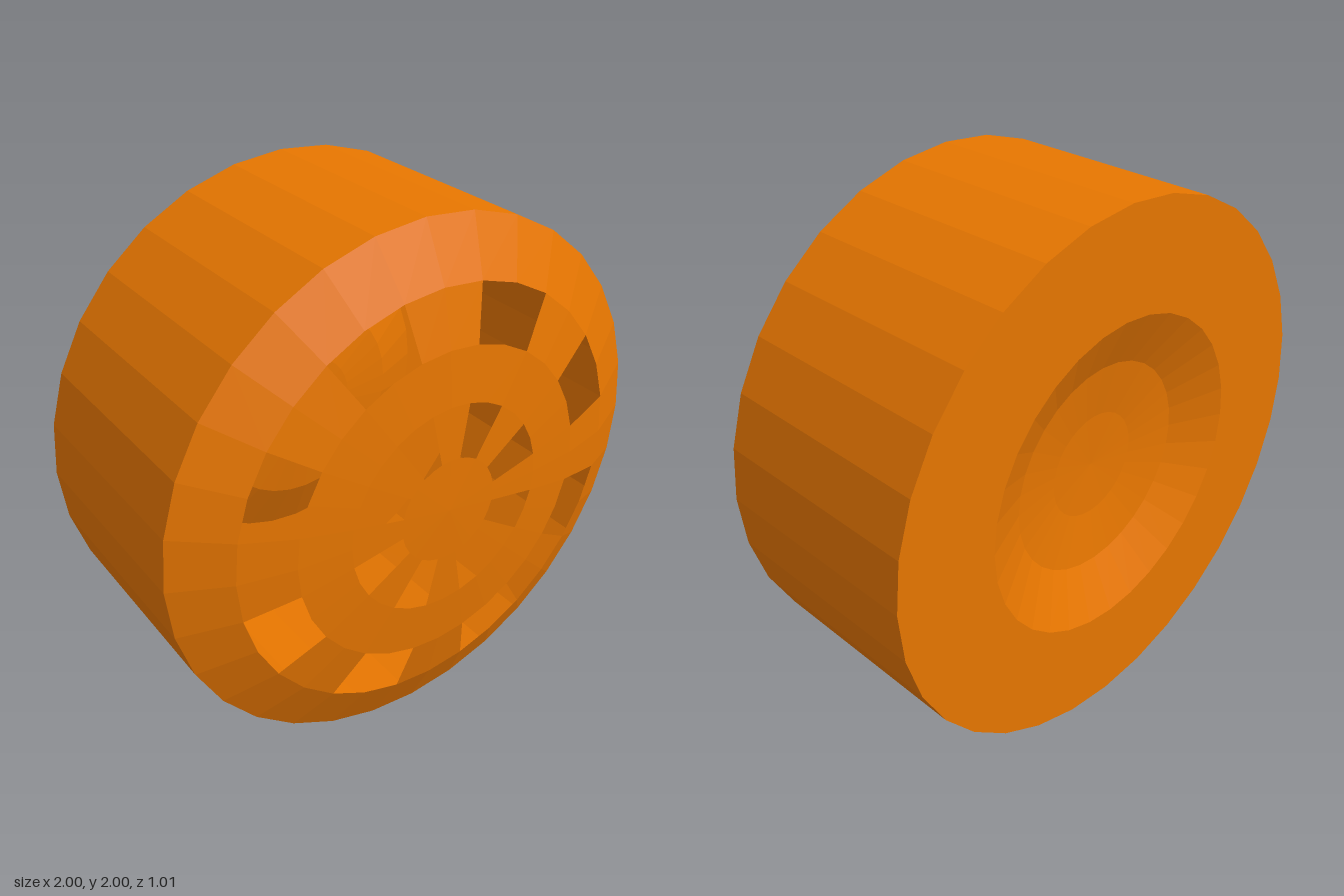
import * as THREE from 'three';

const SIDES = 32;
// thin open shell: the inside shows through the slots
const paint = new THREE.MeshStandardMaterial({ color: 0xe77600, flatShading: true, side: THREE.DoubleSide });

// the slots sit on two of every four segments
const isSlot = (k) => k % 4 === 1 || k % 4 === 2;

// Sweeps a profile of [radius, z] points around the axle; keep(k) picks the segments to fill
function sweep(name, profile, keep = () => true) {
  const pos = [];
  const point = ([r, z], k) => {
    const a = (k / SIDES) * Math.PI * 2;
    return [r * Math.cos(a), r * Math.sin(a), z];
  };
  for (let i = 0; i + 1 < profile.length; i++) {
    const [p, q] = [profile[i], profile[i + 1]];
    for (let k = 0; k < SIDES; k++) {
      if (!keep(k)) continue;
      const a = point(p, k), b = point(p, k + 1), c = point(q, k + 1), d = point(q, k);
      if (p[0] > 0) pos.push(...a, ...b, ...c);
      if (q[0] > 0) pos.push(...a, ...c, ...d);
    }
  }
  const geo = new THREE.BufferGeometry();
  geo.setAttribute('position', new THREE.Float32BufferAttribute(pos, 3));
  geo.computeVertexNormals();
  const mesh = new THREE.Mesh(geo, paint);
  mesh.name = name;
  return mesh;
}

export function createModel() {
  const wheel = new THREE.Group();
  wheel.name = 'wheel';
  wheel.position.y = 1;

  // back face with its shallow dish, then the tread
  wheel.add(sweep('backDish', [[0, -0.38], [0.2, -0.387], [0.4, -0.415], [0.6, -0.505]]));
  wheel.add(sweep('backFace', [[0.6, -0.505], [1, -0.505]]));
  wheel.add(sweep('tread', [[1, -0.505], [1, 0.33]]));

  // front dome, rim to centre: solid rings alternate with rings of slots
  const dome = [[1, 0.33], [0.8, 0.43], [0.6, 0.475], [0.4, 0.492], [0.2, 0.5], [0, 0.505]];
  const names = ['rimBevel', 'outerSpokes', 'middleRing', 'innerSpokes', 'hubCap'];
  names.forEach((name, i) => {
    const slotted = i % 2 === 1;
    wheel.add(sweep(name, [dome[i], dome[i + 1]], (k) => !slotted || !isSlot(k)));
  });

  const model = new THREE.Group();
  model.add(wheel);
  return model;
}
